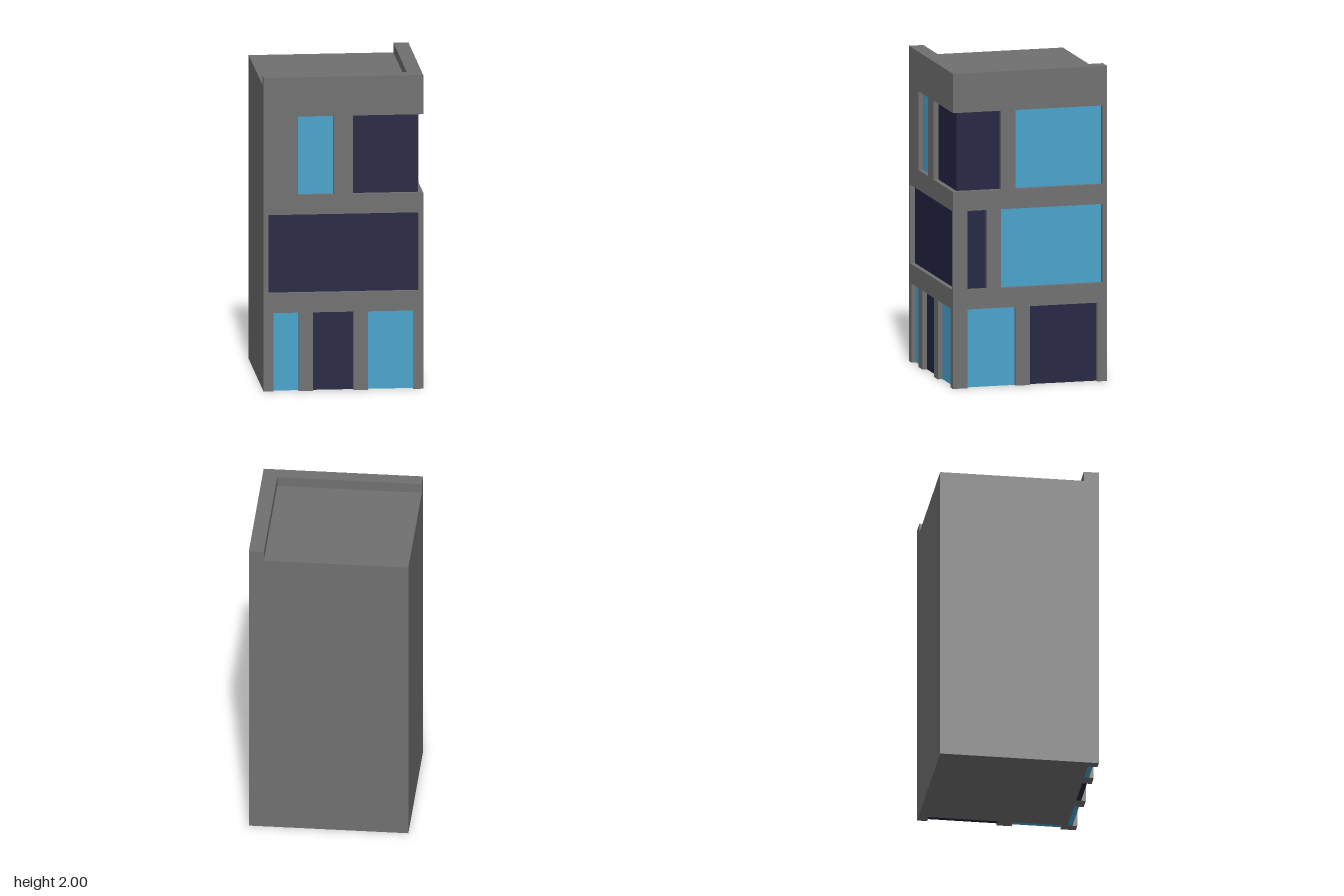
import * as THREE from 'three';

const HALF = 0.5;     // half of the square footprint
const RECESS = 0.03;  // glass set back from the wall face
const PANE = 0.03;    // glass thickness
const INNER = HALF - RECESS - PANE;

const wall = new THREE.MeshStandardMaterial({ color: 0x707070 });
wall.name = 'grey wall';
const clear = new THREE.MeshStandardMaterial({ color: 0x47a4cd });
clear.name = 'light blue glass';
const tinted = new THREE.MeshStandardMaterial({ color: 0x232342 });
tinted.name = 'dark blue glass';

// Each storey: openings as [from, to, glass]; front runs along x, side along z.
// A corner opening starts at corner[0] on the front and corner[1] on the side.
const storeys = [
  {
    name: 'groundFloor', y0: 0, y1: 0.5,
    front: [[-0.44, -0.28, clear], [-0.19, 0.063, tinted], [0.155, 0.437, clear]],
    side: [[0.405, 0.094, clear], [0, -0.437, tinted]],
  },
  {
    name: 'middleFloor', y0: 0.625, y1: 1.125,
    front: [[-0.47, 0.47, tinted]],
    side: [[0.405, 0.28, tinted], [0.19, -0.47, clear]],
  },
  {
    name: 'topFloor', y0: 1.25, y1: 1.75,
    front: [[-0.285, -0.063, clear]],
    side: [[0.094, -0.47, clear]],
    corner: [0.06, 0.19],
  },
];

// Extrude a plan outline of [x, z] points upwards from y0 to y1
function slab(name, points, y0, y1) {
  const shape = new THREE.Shape(points.map(([x, z]) => new THREE.Vector2(x, -z)));
  const geo = new THREE.ExtrudeGeometry(shape, { depth: y1 - y0, bevelEnabled: false });
  geo.rotateX(-Math.PI / 2).translate(0, y0, 0);
  const mesh = new THREE.Mesh(geo, wall);
  mesh.name = name;
  return mesh;
}

// Box between two corners of the plan
function pane(name, x0, x1, z0, z1, y0, y1, material) {
  const mesh = new THREE.Mesh(
    new THREE.BoxGeometry(Math.abs(x1 - x0), y1 - y0, Math.abs(z1 - z0)), material);
  mesh.position.set((x0 + x1) / 2, (y0 + y1) / 2, (z0 + z1) / 2);
  mesh.name = name;
  return mesh;
}

// Square plan with a notch for every opening
function notchedPlan({ front, side, corner }) {
  const plan = [[-HALF, -HALF], [-HALF, HALF]];
  for (const [a, b] of front) plan.push([a, HALF], [a, INNER], [b, INNER], [b, HALF]);
  if (corner) {
    const [x, z] = corner;
    plan.push([x, HALF], [x, INNER], [INNER, INNER], [INNER, z], [HALF, z]);
  } else {
    plan.push([HALF, HALF]);
  }
  for (const [a, b] of side) plan.push([HALF, a], [INNER, a], [INNER, b], [HALF, b]);
  plan.push([HALF, -HALF]);
  return plan;
}

function buildStorey(spec) {
  const { name, y0, y1, front, side, corner } = spec;
  const group = new THREE.Group();
  group.name = name;
  group.add(slab('storeyWalls', notchedPlan(spec), y0, y1));
  const glass = HALF - RECESS;
  for (const [a, b, m] of front) group.add(pane('frontWindow', a, b, INNER, glass, y0, y1, m));
  for (const [a, b, m] of side) group.add(pane('sideWindow', INNER, glass, a, b, y0, y1, m));
  if (corner) {
    group.add(pane('cornerWindowFront', corner[0], glass, INNER, glass, y0, y1, tinted));
    group.add(pane('cornerWindowSide', INNER, glass, corner[1], INNER, y0, y1, tinted));
  }
  return group;
}

export function createModel() {
  const building = new THREE.Group();
  building.name = 'building';
  for (const spec of storeys) building.add(buildStorey(spec));

  // Solid bands between the storeys and up to the roof
  const square = [[-HALF, -HALF], [-HALF, HALF], [HALF, HALF], [HALF, -HALF]];
  building.add(slab('lowerBand', square, 0.5, 0.625));
  building.add(slab('upperBand', square, 1.125, 1.25));
  building.add(slab('roofBand', square, 1.75, 1.9375));

  // Raised parapet along the two street sides
  const edge = 0.406;
  building.add(slab('parapet', [
    [-HALF, edge], [-HALF, HALF], [HALF, HALF], [HALF, -HALF], [edge, -HALF], [edge, edge],
  ], 1.9375, 2));
  return building;
}
